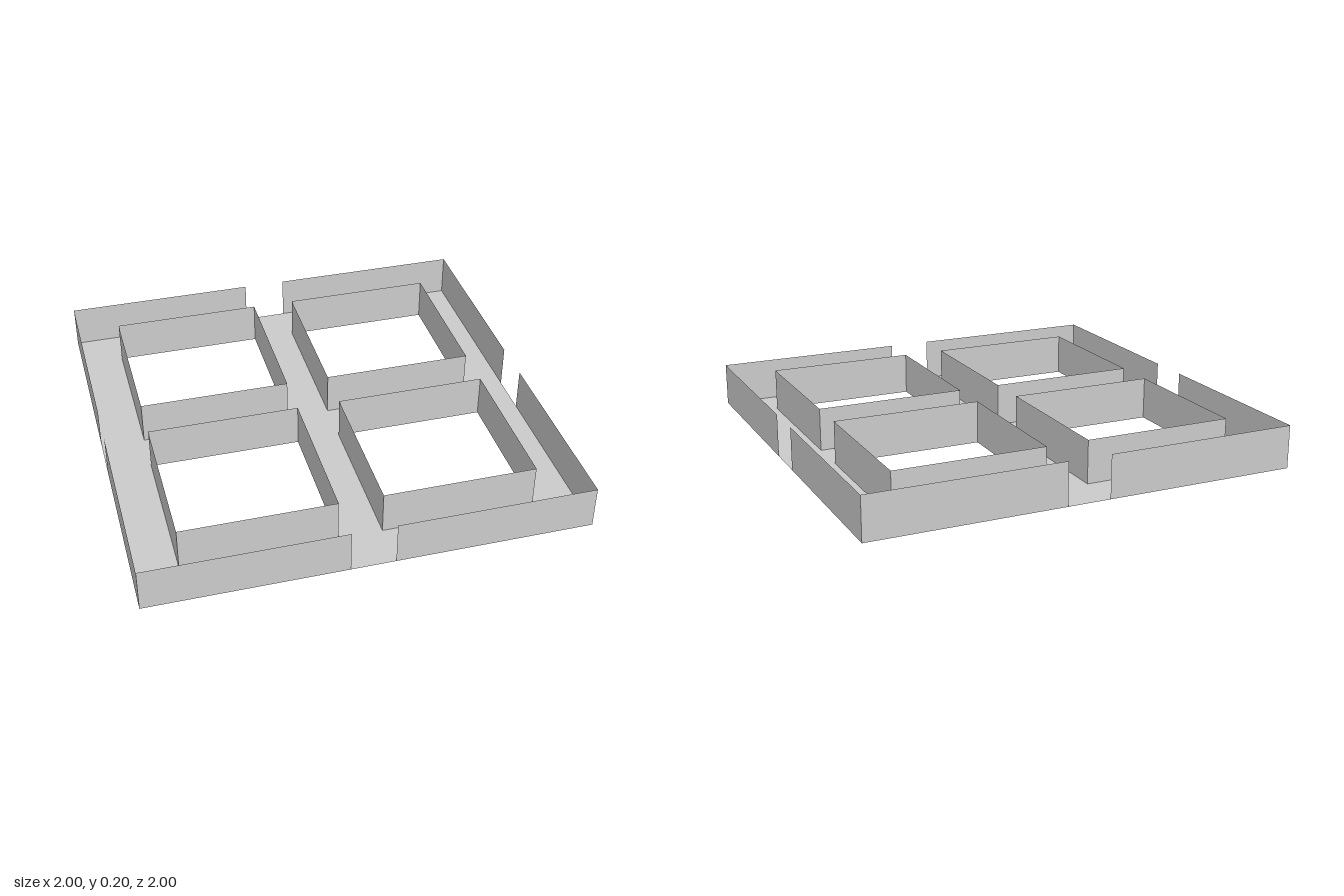
import * as THREE from 'three';

const HEIGHT = 0.2, OUTER = 1, GAP = 0.1, INNER = 0.8;

export function createModel() {
  const model = new THREE.Group();
  model.name = 'corridorTile';
  const grey = new THREE.MeshStandardMaterial({ color: 0xcccccc, side: THREE.DoubleSide });
  grey.name = 'light grey';

  const rectangle = (Type, x0, y0, x1, y1) => new Type([
    new THREE.Vector2(x0, y0), new THREE.Vector2(x1, y0),
    new THREE.Vector2(x1, y1), new THREE.Vector2(x0, y1),
  ]);

  // Floor: ring corridor and cross corridor around four square openings
  const outline = rectangle(THREE.Shape, -OUTER, -OUTER, OUTER, OUTER);
  for (const x of [-INNER, GAP]) {
    for (const y of [-INNER, GAP]) {
      outline.holes.push(rectangle(THREE.Path, x, y, x + INNER - GAP, y + INNER - GAP));
    }
  }
  const floor = new THREE.Mesh(new THREE.ShapeGeometry(outline).rotateX(-Math.PI / 2), grey);
  floor.name = 'floor';
  model.add(floor);

  // Thin upright wall centred at (x, z), turned so its front faces along angle
  const addWall = (parent, name, length, x, z, angle) => {
    const wall = new THREE.Mesh(new THREE.PlaneGeometry(length, HEIGHT), grey);
    wall.name = name;
    wall.position.set(x, HEIGHT / 2, z);
    wall.rotation.y = angle;
    parent.add(wall);
  };

  // Outer walls: two lengths per side with a doorway between them
  const outerWalls = new THREE.Group();
  outerWalls.name = 'outerWalls';
  for (let i = 0; i < 4; i++) {
    const side = new THREE.Group();
    side.name = 'outerSide';
    side.rotation.y = i * Math.PI / 2;
    for (const s of [-1, 1]) {
      addWall(side, 'outerWall', OUTER - GAP, s * (OUTER + GAP) / 2, OUTER, 0);
    }
    outerWalls.add(side);
  }
  model.add(outerWalls);

  // Inner walls: a closed square around each opening, facing the corridors
  const size = INNER - GAP, centre = (INNER + GAP) / 2;
  for (const sx of [-1, 1]) {
    for (const sz of [-1, 1]) {
      const block = new THREE.Group();
      block.name = 'innerBlock';
      block.position.set(sx * centre, 0, sz * centre);
      for (let i = 0; i < 4; i++) {
        const a = i * Math.PI / 2;
        addWall(block, 'innerWall', size, Math.sin(a) * size / 2, Math.cos(a) * size / 2, a);
      }
      model.add(block);
    }
  }
  return model;
}
